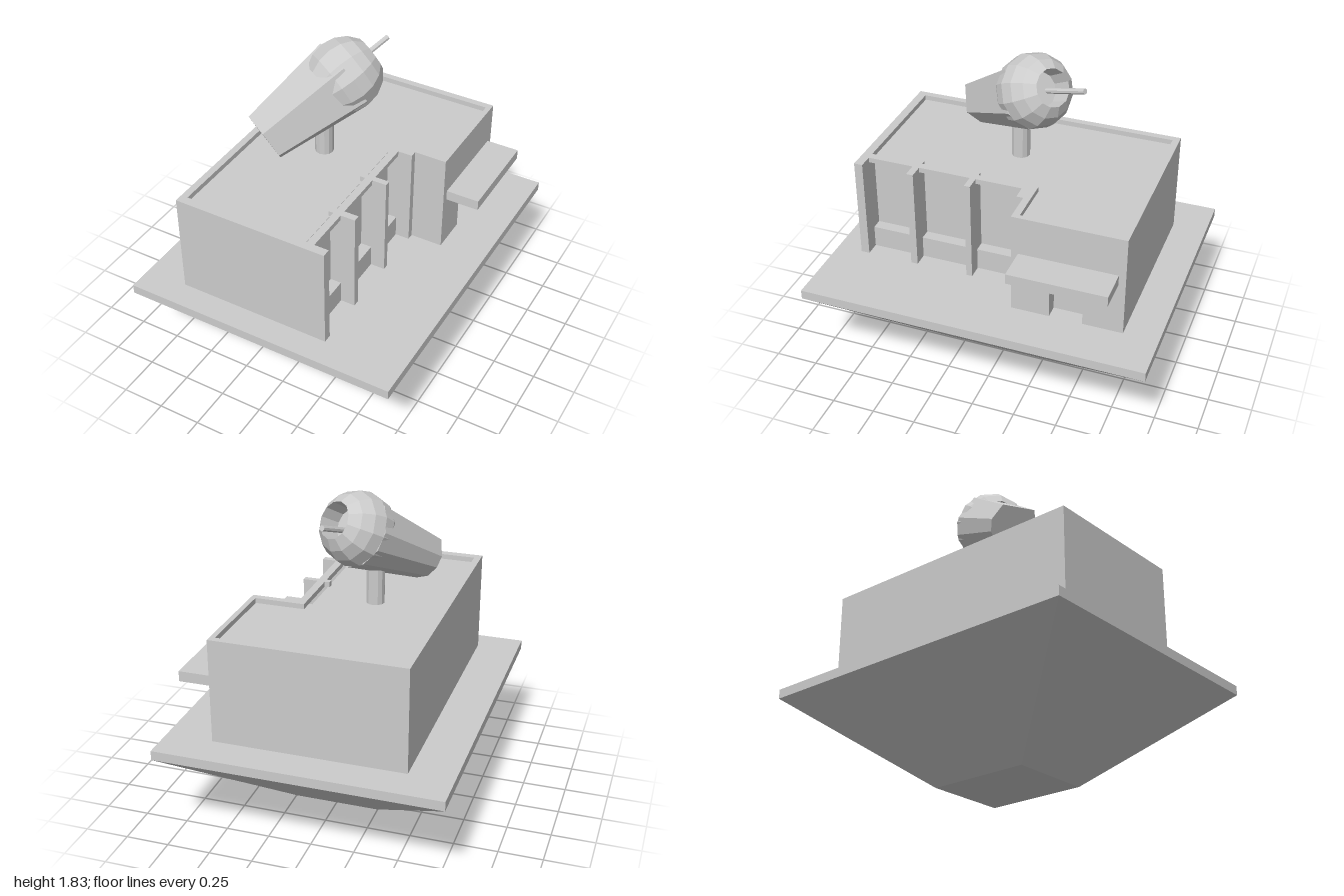
import * as THREE from 'three';
import { ConvexGeometry } from 'three/addons/geometries/ConvexGeometry.js';

const material = new THREE.MeshStandardMaterial({ color: 0xcccccc, flatShading: true, side: THREE.DoubleSide });
const V = (x, y, z) => new THREE.Vector3(x, y, z);
const UP = V(0, 1, 0);

function add(parent, name, geometry) {
  const mesh = new THREE.Mesh(geometry, material);
  mesh.name = name;
  parent.add(mesh);
  return mesh;
}

// Box given by its extents on each axis
function box(parent, name, x0, x1, y0, y1, z0, z1) {
  const mesh = add(parent, name, new THREE.BoxGeometry(x1 - x0, y1 - y0, z1 - z0));
  mesh.position.set((x0 + x1) / 2, (y0 + y1) / 2, (z0 + z1) / 2);
  return mesh;
}

// Vertical prism from a plan outline of [x, z] corners, with an optional hole
function prism(parent, name, plan, y0, y1, hole) {
  const toPoints = (list) => list.map(([x, z]) => new THREE.Vector2(x, -z));
  const shape = new THREE.Shape(toPoints(plan));
  if (hole) shape.holes.push(new THREE.Path(toPoints(hole)));
  const geometry = new THREE.ExtrudeGeometry(shape, { depth: y1 - y0, bevelEnabled: false });
  geometry.rotateX(-Math.PI / 2).translate(0, y0, 0);
  return add(parent, name, geometry);
}

// Rod between two points
function rod(parent, name, a, b, radius, sides) {
  const mesh = add(parent, name, new THREE.CylinderGeometry(radius, radius, a.distanceTo(b), sides));
  mesh.position.copy(a).add(b).multiplyScalar(0.5);
  mesh.quaternion.setFromUnitVectors(UP, b.clone().sub(a).normalize());
  return mesh;
}

function makeBase() {
  const base = new THREE.Group();
  base.name = 'base';
  // Upside-down truncated pyramid under a flat slab
  const taper = new THREE.CylinderGeometry(Math.SQRT2, Math.SQRT2 * 0.302, 0.53, 4, 1);
  taper.rotateY(Math.PI / 4).scale(0.81, 1, 1).translate(0, 0.265, 0);
  add(base, 'taperedFoot', taper);
  box(base, 'groundSlab', -0.81, 0.81, 0.53, 0.585, -1, 1);
  return base;
}

function makeBuilding() {
  const building = new THREE.Group();
  building.name = 'building';
  const floor = 0.585, doorTop = 0.9, roof = 1.16, top = 1.19;

  // Walls: the window side is set back, and the doorway is a notch up to doorTop
  const walls = (notch) => [
    [-0.56, -0.8], [0.54, -0.8], ...notch, [0.54, -0.16], [0.35, -0.16], [0.35, -0.12],
    [0.2, -0.12], [0.2, 0.8], [0.35, 0.8], [0.35, 0.85], [-0.56, 0.85],
  ];
  const doorway = [[0.54, -0.57], [0.46, -0.57], [0.46, -0.38], [0.54, -0.38]];
  prism(building, 'lowerWalls', walls(doorway), floor, doorTop);
  prism(building, 'upperWalls', walls([]), doorTop, roof);

  // Parapet around the sunken roof
  prism(building, 'parapet',
    [[-0.56, -0.8], [0.54, -0.8], [0.54, -0.16], [0.35, -0.16], [0.35, -0.12],
      [0.265, -0.12], [0.265, 0.8], [0.35, 0.8], [0.35, 0.85], [-0.56, 0.85]],
    roof, top,
    [[-0.52, -0.76], [0.51, -0.76], [0.51, -0.2], [0.22, -0.2], [0.22, 0.8], [-0.52, 0.8]]);

  // Window sill, fins between the windows, door canopy
  box(building, 'windowSill', 0.19, 0.265, floor, 0.715, -0.12, 0.8);
  for (const [z0, z1] of [[0.15, 0.185], [0.49, 0.53]]) {
    box(building, 'windowFin', 0.19, 0.35, floor, top, z0, z1);
  }
  box(building, 'doorCanopy', 0.54, 0.735, 0.9, 0.96, -0.76, -0.2);
  return building;
}

function makeRooftopDevice() {
  const device = new THREE.Group();
  device.name = 'rooftopDevice';
  const head = V(-0.055, 1.62, -0.075);
  const tail = V(-0.322, 1.362, 0.333);
  const axis = head.clone().sub(tail).normalize();

  rod(device, 'pole', V(-0.127, 1.15, 0.028), V(-0.127, 1.55, 0.028), 0.053, 12);

  // Faceted tapered body with two wide upper facets
  const u = V(-0.11, 0.105, -0.003).projectOnPlane(axis).normalize();
  const v = axis.clone().cross(u);
  const ring = (centre, radius) => [0, 79, 147, 191, 225, 259, 290, 318].map((deg) => {
    const a = THREE.MathUtils.degToRad(deg);
    return centre.clone().addScaledVector(u, radius * Math.cos(a)).addScaledVector(v, radius * Math.sin(a));
  });
  add(device, 'taperedBody', new ConvexGeometry([...ring(tail, 0.143), ...ring(head, 0.215)]));

  // Faceted dome with an open, hollow end
  const profile = [];
  for (let deg = 130; deg >= 30; deg -= 20) {
    const a = THREE.MathUtils.degToRad(deg);
    profile.push(new THREE.Vector2(0.213 * Math.sin(a), 0.213 * Math.cos(a)));
  }
  profile.push(new THREE.Vector2(0.1, 0.06), new THREE.Vector2(0, 0.06));
  const dome = add(device, 'hollowDome', new THREE.LatheGeometry(profile, 12));
  dome.position.copy(head);
  dome.quaternion.setFromUnitVectors(UP, axis);

  rod(device, 'probe', V(-0.06, 1.63, -0.14), V(0.04, 1.722, -0.392), 0.016, 8);
  return device;
}

export function createModel() {
  const model = new THREE.Group();
  model.name = 'rooftopStation';
  model.add(makeBase(), makeBuilding(), makeRooftopDevice());
  return model;
}
